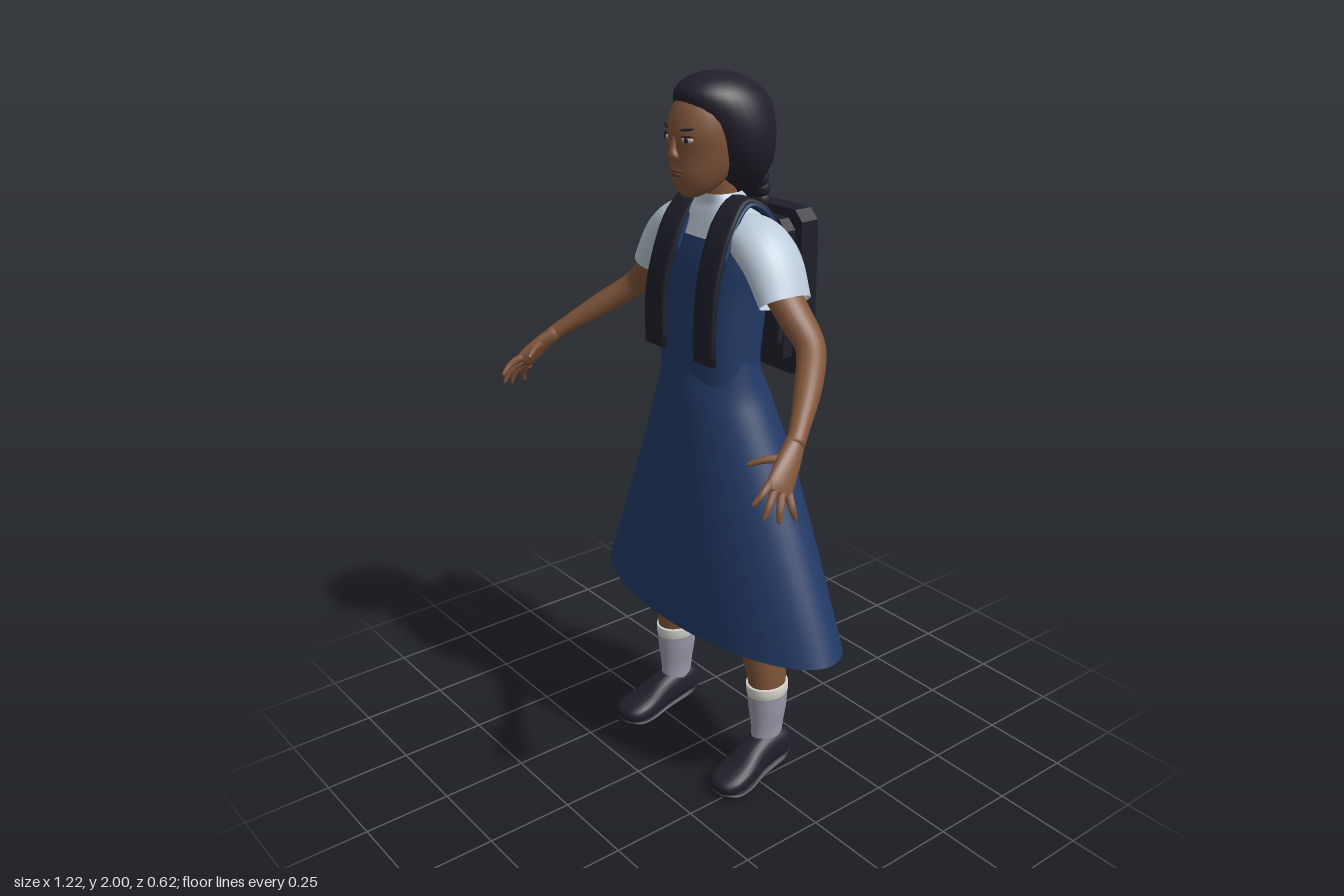
import * as THREE from 'three';

const mat = (name, color, side = THREE.FrontSide) => {
  const m = new THREE.MeshStandardMaterial({ color, side });
  m.name = name;
  return m;
};
const M = {
  skin: mat('brown skin', 0x80553a),
  lip: mat('lip brown', 0x633d2e),
  hair: mat('dark hair', 0x21202b),
  dress: mat('navy cloth', 0x223a66, THREE.DoubleSide),
  shirt: mat('pale blue shirt', 0xbccad8, THREE.DoubleSide),
  bag: mat('dark bag', 0x1f1f2a),
  sock: mat('grey sock', 0x9f99aa),
  cuff: mat('off-white cuff', 0xd6d3cc),
  shoe: mat('dark shoe', 0x231f2b),
  eye: mat('eye white', 0xb8aca2),
};
const X = new THREE.Vector3(1, 0, 0), Y = new THREE.Vector3(0, 1, 0), Z = new THREE.Vector3(0, 0, 1);

// Smooth loft through rings [x, y, z, radiusA, radiusB]; e below 1 squares the section
function loft(rings, { ref = Z, flat = false, e = 1, cap = true, sides = 24, steps = 4 } = {}) {
  const curve = (f) => new THREE.CatmullRomCurve3(rings.map(f), false, 'catmullrom', 0.5);
  const path = curve((r) => new THREE.Vector3(r[0], r[1], r[2]));
  const radii = curve((r) => new THREE.Vector3(r[3], r[4], 0));
  const n = (rings.length - 1) * steps, pos = [], idx = [];
  const pw = (c) => Math.sign(c) * Math.abs(c) ** e;
  for (let i = 0; i <= n; i++) {
    const c = path.getPoint(i / n), r = radii.getPoint(i / n);
    const t = flat ? Y : path.getTangent(i / n);
    const u = t.clone().cross(ref).normalize(), v = u.clone().cross(t).normalize();
    for (let j = 0; j < sides; j++) {
      const a = (j / sides) * Math.PI * 2;
      const p = c.clone().addScaledVector(u, Math.max(r.x, 0.001) * pw(Math.cos(a)))
        .addScaledVector(v, Math.max(r.y, 0.001) * pw(Math.sin(a)));
      pos.push(p.x, p.y, p.z);
      if (i < n) {
        const k = i * sides, q = (j + 1) % sides;
        idx.push(k + j, k + sides + j, k + q, k + q, k + sides + j, k + sides + q);
      }
    }
  }
  if (cap) {
    const a = path.getPoint(0), b = path.getPoint(1), s = pos.length / 3, k = n * sides;
    pos.push(a.x, a.y, a.z, b.x, b.y, b.z);
    for (let j = 0; j < sides; j++) {
      const q = (j + 1) % sides;
      idx.push(s, j, q, s + 1, k + q, k + j);
    }
  }
  const g = new THREE.BufferGeometry();
  g.setAttribute('position', new THREE.Float32BufferAttribute(pos, 3));
  g.setIndex(idx);
  g.computeVertexNormals();
  return g;
}
// Upright loft from [y, centreZ, radiusX, radiusZ]
const upright = (rows, o) => loft(rows.map(([y, z, a, b]) => [0, y, z, a, b]), { flat: true, ...o });

export function createModel() {
  const model = new THREE.Group();
  model.name = 'schoolgirl';
  const add = (name, geo, m) => {
    const mesh = new THREE.Mesh(geo, m);
    mesh.name = name;
    model.add(mesh);
    return mesh;
  };
  const ball = (name, m, p, s) => {
    const b = add(name, new THREE.SphereGeometry(1, 16, 12), m);
    b.position.set(...p);
    b.scale.set(...s);
    return b;
  };

  // Head, neck and hair
  add('head', upright([[1.692, 0.04, 0.018, 0.025], [1.712, 0.025, 0.048, 0.055], [1.75, 0.01, 0.07, 0.084],
    [1.8, 0, 0.085, 0.094], [1.86, 0, 0.092, 0.099], [1.92, -0.02, 0.085, 0.102], [1.965, -0.03, 0.055, 0.075]]), M.skin);
  add('neck', upright([[1.6, -0.06, 0.048, 0.048], [1.68, -0.052, 0.045, 0.047], [1.76, -0.045, 0.046, 0.05]]), M.skin);
  add('hair', upright([[1.67, -0.14, 0.028, 0.028], [1.69, -0.125, 0.05, 0.045], [1.73, -0.1, 0.09, 0.075],
    [1.77, -0.095, 0.115, 0.095], [1.82, -0.085, 0.13, 0.11], [1.87, -0.075, 0.13, 0.122], [1.92, -0.06, 0.118, 0.13],
    [1.955, -0.045, 0.099, 0.117], [1.98, -0.037, 0.07, 0.085], [1.995, -0.035, 0.035, 0.045], [2, -0.035, 0.004, 0.004]],
  { sides: 32 }), M.hair);

  // Face
  add('nose', loft([[0, 1.85, 0.092, 0.007, 0.007], [0, 1.82, 0.099, 0.009, 0.01], [0, 1.803, 0.1, 0.017, 0.012],
    [0, 1.793, 0.092, 0.012, 0.008]]), M.skin);
  ball('upperLip', M.lip, [0, 1.764, 0.091], [0.024, 0.006, 0.009]);
  ball('lowerLip', M.lip, [0, 1.754, 0.088], [0.02, 0.007, 0.01]);
  for (const s of [1, -1]) {
    ball('eye', M.eye, [s * 0.041, 1.845, 0.086], [0.017, 0.008, 0.007]).rotation.y = s * 0.4;
    ball('iris', M.hair, [s * 0.04, 1.845, 0.09], [0.008, 0.008, 0.0045]);
    ball('eyelid', M.hair, [s * 0.042, 1.853, 0.088], [0.018, 0.003, 0.005]).rotation.y = s * 0.4;
    ball('eyebrow', M.hair, [s * 0.042, 1.871, 0.088], [0.021, 0.0035, 0.005]).rotation.set(0, s * 0.4, s * 0.15);
  }

  // Braid: two strands of beads weaving down the back
  const braid = new THREE.CatmullRomCurve3([[1.73, -0.165], [1.66, -0.182], [1.55, -0.172], [1.32, -0.16]]
    .map(([y, z]) => new THREE.Vector3(0, y, z)));
  for (let i = 0; i < 15; i++) {
    const p = braid.getPoint(i / 14), r = 0.034 - i * 0.0012;
    ball('braidKnot', M.hair, [(i % 2 ? 1 : -1) * r * 0.45, p.y, p.z], [r, r, r * 0.85]).rotation.z = i % 2 ? 0.5 : -0.5;
  }
  ball('hairTie', M.cuff, [0, 1.335, -0.162], [0.018, 0.01, 0.018]);

  // Shirt body, pinafore bodice and skirt
  const body = [[1.27, -0.02, 0.146, 0.098], [1.35, -0.025, 0.15, 0.102], [1.45, -0.035, 0.156, 0.098],
    [1.53, -0.045, 0.165, 0.091], [1.585, -0.053, 0.16, 0.08], [1.64, -0.06, 0.125, 0.07],
    [1.67, -0.06, 0.075, 0.06], [1.695, -0.052, 0.052, 0.054]];
  add('shirtBody', upright(body, { e: 0.75, cap: false, sides: 40 }), M.shirt);
  add('bodice', upright([[1.2, -0.025, 0.15, 0.105], ...body.slice(0, 5).map(([y, z, a, b]) => [y, z, a + 0.005, b + 0.005])],
    { e: 0.75, cap: false, sides: 40 }), M.dress);
  add('skirt', upright([[0.48, -0.057, 0.48, 0.198], [0.7, -0.055, 0.382, 0.187], [0.95, -0.05, 0.27, 0.166],
    [1.1, -0.038, 0.203, 0.143], [1.17, -0.032, 0.173, 0.13], [1.23, -0.025, 0.158, 0.11], [1.27, -0.02, 0.15, 0.103]],
  { cap: false, sides: 56 }), M.dress);

  // Backpack: three chamfered slabs
  const slab = (w, y0, y1, z0, z1) => {
    const c = 0.028, s = new THREE.Shape();
    [[-w + c, y0], [w - c, y0], [w, y0 + c], [w, y1 - c], [w - c, y1], [-w + c, y1], [-w, y1 - c], [-w, y0 + c]]
      .forEach(([x, y], i) => (i ? s.lineTo(x, y) : s.moveTo(x, y)));
    add('backpack', new THREE.ExtrudeGeometry(s, { depth: z1 - z0, bevelEnabled: false }), M.bag).position.z = z0;
  };
  slab(0.11, 1.2, 1.61, -0.225, -0.188);
  slab(0.135, 1.175, 1.635, -0.278, -0.222);
  slab(0.106, 1.2, 1.61, -0.308, -0.275);

  for (const s of [1, -1]) {
    const limb = (name, m, rings, o) => add(name, loft(rings.map(([x, ...r]) => [s * x, ...r]), o), m);

    // Backpack strap over the shoulder, with the pinafore strap beneath it
    const strap = [[0.105, 1.275, 0.084], [0.105, 1.42, 0.08], [0.1, 1.54, 0.053], [0.095, 1.63, 0.012],
      [0.086, 1.683, -0.05], [0.095, 1.64, -0.118], [0.1, 1.54, -0.148], [0.11, 1.4, -0.148], [0.118, 1.28, -0.132]];
    limb('bagStrap', M.bag, strap.map((p, i) => [...p, 0.011, i === 4 ? 0.036 : 0.041]), { ref: X, e: 0.5 });
    limb('dressStrap', M.dress, strap.slice(2, 7).map(([x, y, z]) => [x - 0.003, y - 0.006, z * 0.97 - 0.002, 0.007, 0.048]),
      { ref: X, e: 0.5 });

    // Sleeve and arm
    limb('sleeve', M.shirt, [[0.09, 1.603, -0.055, 0.05, 0.07], [0.15, 1.586, -0.055, 0.062, 0.083],
      [0.21, 1.54, -0.055, 0.06, 0.086], [0.268, 1.453, -0.048, 0.05, 0.077]], { cap: false });
    limb('arm', M.skin, [[0.235, 1.49, -0.05, 0.042, 0.05], [0.3, 1.425, -0.052, 0.04, 0.048], [0.37, 1.36, -0.045, 0.036, 0.04],
      [0.44, 1.295, 0.025, 0.033, 0.036], [0.505, 1.23, 0.11, 0.024, 0.026], [0.53, 1.2, 0.148, 0.021, 0.025]]);

    // Hand
    limb('palm', M.skin, [[0.522, 1.21, 0.137, 0.021, 0.024], [0.545, 1.172, 0.18, 0.019, 0.033],
      [0.564, 1.132, 0.22, 0.015, 0.038], [0.573, 1.114, 0.238, 0.008, 0.033]]);
    const fingers = [
      [[0.555, 1.145, 0.24], [0.564, 1.125, 0.275], [0.56, 1.1, 0.304]],
      [[0.563, 1.13, 0.235], [0.579, 1.098, 0.268], [0.582, 1.066, 0.288]],
      [[0.57, 1.118, 0.222], [0.592, 1.083, 0.246], [0.598, 1.052, 0.254]],
      [[0.575, 1.108, 0.205], [0.597, 1.078, 0.212], [0.603, 1.05, 0.206]],
      [[0.54, 1.18, 0.178], [0.51, 1.178, 0.224], [0.484, 1.165, 0.258]],
    ];
    fingers.forEach(([a, b, c], i) => limb(i < 4 ? 'finger' : 'thumb', M.skin,
      [[...a, 0.011, 0.011], [...b, 0.0095, 0.0095], [...c, 0.005, 0.005]], { sides: 10 }));

    // Leg, sock and cuff
    const up = { flat: true };
    limb('leg', M.skin, [[0.217, 0.22, -0.062, 0.042, 0.05], [0.213, 0.32, -0.06, 0.051, 0.06], [0.19, 0.48, -0.046, 0.066, 0.068],
      [0.165, 0.72, -0.048, 0.078, 0.08], [0.12, 1.05, -0.045, 0.085, 0.085]], up);
    limb('sock', M.sock, [[0.217, 0.09, -0.06, 0.036, 0.05], [0.217, 0.15, -0.062, 0.038, 0.052],
      [0.216, 0.22, -0.063, 0.049, 0.06], [0.215, 0.285, -0.062, 0.054, 0.063]], up);
    limb('sockCuff', M.cuff, [[0.215, 0.263, -0.062, 0.053, 0.062], [0.215, 0.28, -0.062, 0.056, 0.065],
      [0.214, 0.3, -0.061, 0.056, 0.064]], up);

    // Shoe and sole
    const along = { ref: Y, e: 0.8 };
    limb('shoe', M.shoe, [[0.221, 0.075, -0.13, 0.022, 0.03], [0.221, 0.08, -0.112, 0.039, 0.048], [0.221, 0.082, -0.06, 0.044, 0.056],
      [0.223, 0.07, -0.01, 0.047, 0.051], [0.228, 0.046, 0.05, 0.056, 0.038], [0.231, 0.034, 0.1, 0.057, 0.03],
      [0.233, 0.028, 0.13, 0.043, 0.023], [0.233, 0.025, 0.144, 0.02, 0.013]], along);
    limb('sole', M.shoe, [[0.222, 0.043, -0.134, 0.026, 0.01], [0.222, 0.041, -0.09, 0.046, 0.013], [0.225, 0.024, -0.01, 0.048, 0.011],
      [0.23, 0.01, 0.06, 0.059, 0.009], [0.232, 0.009, 0.11, 0.056, 0.008], [0.233, 0.012, 0.147, 0.02, 0.006]], along);
  }
  return model;
}
